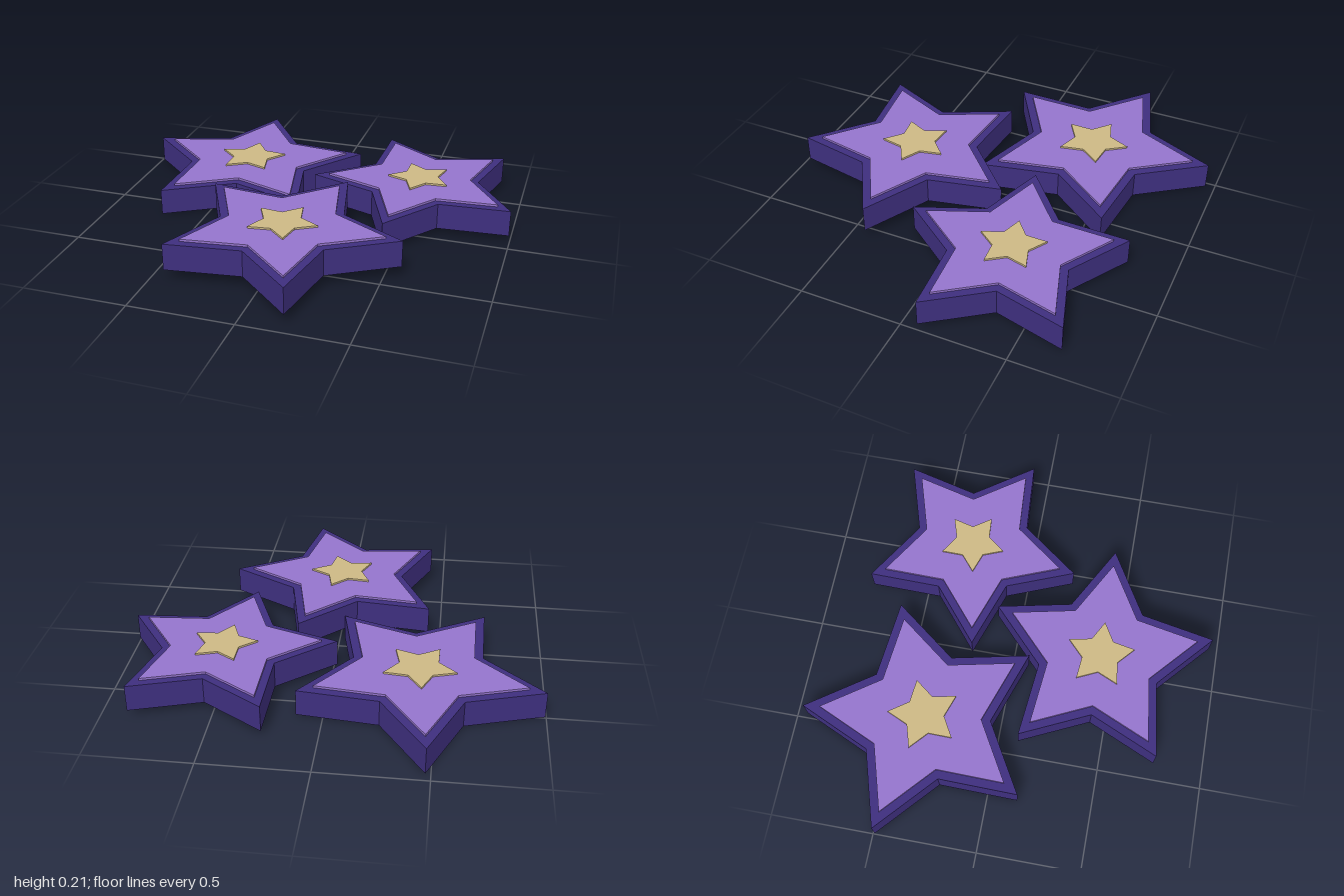
import * as THREE from 'three';

const material = (name, color) => {
  const m = new THREE.MeshStandardMaterial({ color });
  m.name = name;
  return m;
};

// Five-pointed star slab lying flat, with its underside at y = 0
function starSlab(radius, height) {
  const points = [];
  for (let i = 0; i < 10; i++) {
    const r = i % 2 ? radius * 0.54 : radius;
    const a = (i * Math.PI) / 5;
    points.push(new THREE.Vector2(r * Math.cos(a), r * Math.sin(a)));
  }
  const geometry = new THREE.ExtrudeGeometry(new THREE.Shape(points), { depth: height, bevelEnabled: false });
  return geometry.rotateX(-Math.PI / 2);
}

export function createModel() {
  const model = new THREE.Group();
  model.name = 'starCluster';

  const indigo = material('dark indigo', 0x3e2f7e);
  const lilac = material('lilac', 0x9575cd);
  const gold = material('pale gold', 0xcdb985);

  // name, x, base height, z, radius, angle of one tip from +x towards +z
  const stars = [
    ['backRightStar', -0.418, 0, -0.365, 0.592, 48.4],
    ['backLeftStar', 0.509, 0.029, -0.31, 0.537, 25.4],
    ['frontStar', 0.018, 0.056, 0.42, 0.561, -0.9],
  ];

  for (const [name, x, y, z, radius, angle] of stars) {
    const star = new THREE.Group();
    star.name = name;
    star.position.set(x, y, z);
    star.rotation.y = -THREE.MathUtils.degToRad(angle);

    // Each layer: name, scale, underside, thickness, material
    const layers = [
      ['base', 1, 0, 0.13, indigo],
      ['topPanel', 0.86, 0.13, 0.011, lilac],
      ['centreStar', 0.3, 0.141, 0.009, gold],
    ];
    for (const [part, scale, bottom, height, mat] of layers) {
      const mesh = new THREE.Mesh(starSlab(radius * scale, height), mat);
      mesh.name = part;
      mesh.position.y = bottom;
      star.add(mesh);
    }
    model.add(star);
  }
  return model;
}
